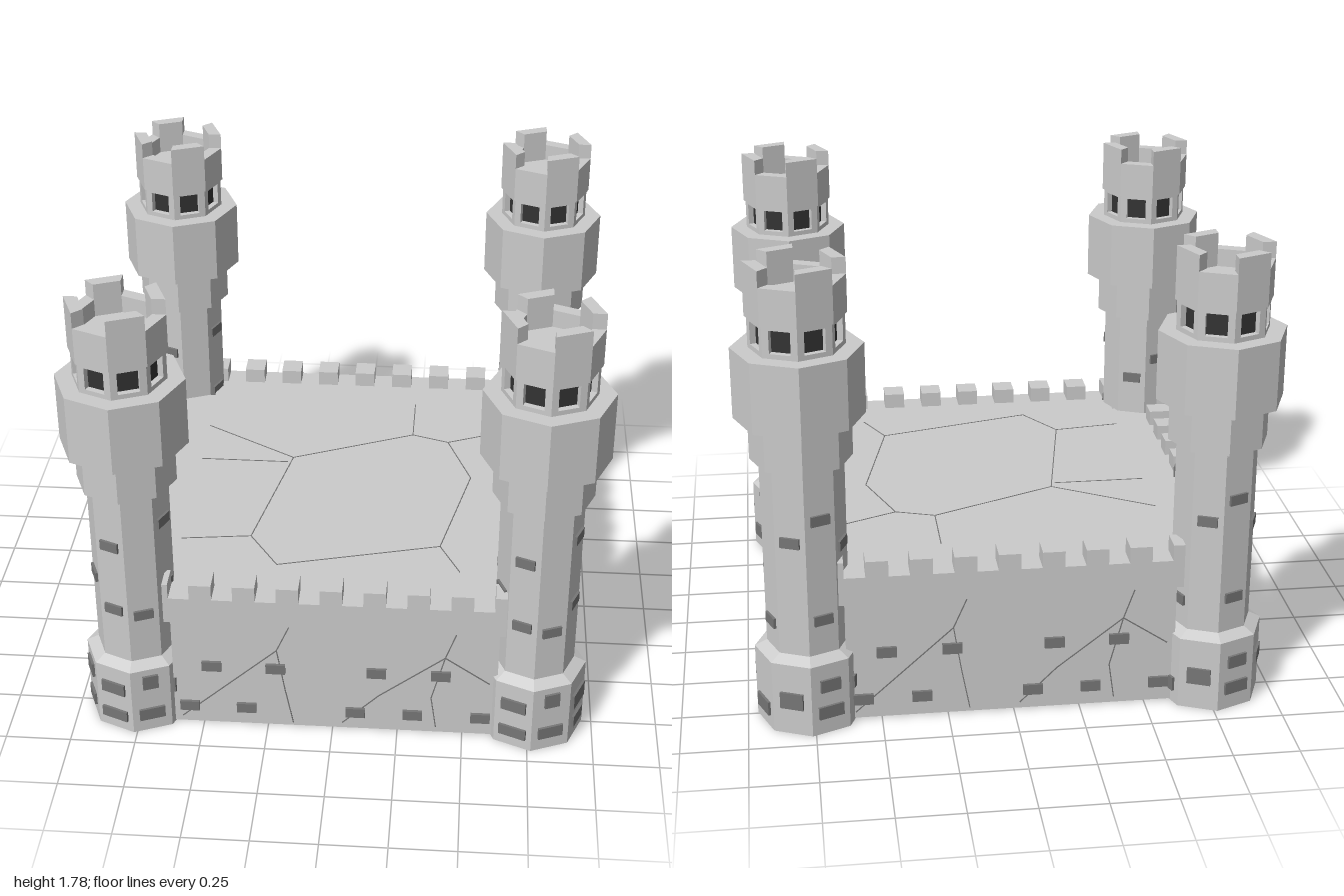
import * as THREE from 'three';

const stone = new THREE.MeshStandardMaterial({ color: 0xcccccc, flatShading: true });
const brickMat = new THREE.MeshStandardMaterial({ color: 0x777777, flatShading: true });
const darkMat = new THREE.MeshStandardMaterial({ color: 0x333333, flatShading: true });

const REACH = 0.864;   // centre to outer wall face
const SPAN = 0.642;    // half length of a wall between towers
const STEP = Math.PI / 4;
const COS = Math.cos(STEP / 2);

function add(parent, name, geometry, material = stone, x = 0, y = 0, z = 0) {
  const mesh = new THREE.Mesh(geometry, material);
  mesh.name = name;
  mesh.position.set(x, y, z);
  parent.add(mesh);
  return mesh;
}

function box(parent, name, w, h, d, x, y, z, material = stone) {
  return add(parent, name, new THREE.BoxGeometry(w, h, d), material, x, y, z);
}

// Thin raised strips along a 2D path lying in the local xy plane
function crack(parent, points) {
  for (let i = 1; i < points.length; i++) {
    const [ax, ay] = points[i - 1], [bx, by] = points[i];
    const strip = box(parent, 'crack', Math.hypot(bx - ax, by - ay), 0.004, 0.003,
      (ax + bx) / 2, (ay + by) / 2, 0, brickMat);
    strip.rotation.z = Math.atan2(by - ay, bx - ax);
  }
}

// One curtain wall facing +z: merlons, raised stones and cracks
function wallSide() {
  const side = new THREE.Group();
  side.name = 'wallSide';
  for (let k = -1; k <= 7; k++) {
    const c = -0.5 + 0.163 * k;
    const a = Math.max(c - 0.042, -SPAN), b = Math.min(c + 0.042, SPAN);
    box(side, 'merlon', b - a, 0.065, 0.095, (a + b) / 2, 0.63, REACH - 0.0475);
  }
  const face = REACH - 0.016;
  for (const x of [-0.47, -0.225, 0.16, 0.405]) {
    box(side, 'wallStone', 0.075, 0.042, 0.02, x, 0.28, face, brickMat);
  }
  for (const x of [-0.56, -0.34, 0.08, 0.30, 0.56]) {
    box(side, 'wallStone', 0.075, 0.042, 0.02, x, 0.085, face, brickMat);
  }
  const cracks = new THREE.Group();
  cracks.name = 'wallCracks';
  cracks.position.z = face;
  crack(cracks, [[-0.59, 0.03], [-0.22, 0.365], [-0.17, 0.48]]);
  crack(cracks, [[-0.22, 0.365], [-0.19, 0.18], [-0.16, 0.02]]);
  crack(cracks, [[0.03, 0.03], [0.17, 0.17], [0.42, 0.365], [0.46, 0.48]]);
  crack(cracks, [[0.42, 0.365], [0.59, 0.25]]);
  crack(cracks, [[0.42, 0.365], [0.37, 0.17], [0.39, 0.03]]);
  side.add(cracks);
  return side;
}

// Cross-shaped solid reaching between the towers
function crossBlock(parent, name, reach, span, y0, y1) {
  box(parent, name, span * 2, y1 - y0, reach * 2, 0, (y0 + y1) / 2, 0);
  for (const s of [-1, 1]) {
    box(parent, name, reach - span, y1 - y0, span * 2, s * (reach + span) / 2, (y0 + y1) / 2, 0);
  }
}

// Wedge of an octagonal ring from angle 0 to 45 degrees, measured from +z
function ringWedge(inner, outer, height) {
  const s = Math.SQRT1_2;
  const shape = new THREE.Shape([
    new THREE.Vector2(0, -inner), new THREE.Vector2(0, -outer),
    new THREE.Vector2(outer * s, -outer * s), new THREE.Vector2(inner * s, -inner * s),
  ]);
  return new THREE.ExtrudeGeometry(shape, { depth: height, bevelEnabled: false }).rotateX(-Math.PI / 2);
}

// Window panel of the lantern, outer face on z = 0
function windowPanel(width, height) {
  const w = width / 2, o = 0.04;
  const shape = new THREE.Shape([
    new THREE.Vector2(-w, 0), new THREE.Vector2(w, 0),
    new THREE.Vector2(w, height), new THREE.Vector2(-w, height),
  ]);
  shape.holes.push(new THREE.Path([
    new THREE.Vector2(-o, 0.02), new THREE.Vector2(-o, 0.105),
    new THREE.Vector2(o, 0.105), new THREE.Vector2(o, 0.02),
  ]));
  return new THREE.ExtrudeGeometry(shape, { depth: 0.025, bevelEnabled: false }).translate(0, 0, -0.025);
}

// Raised stones for each tower face, as [height, width, tall]; faces run from +z towards +x
const baseStones = [
  [[0.08, 0.1, 0.05], [0.23, 0.06, 0.06]],
  [[0.18, 0.11, 0.065], [0.08, 0.09, 0.05]],
  [[0.08, 0.1, 0.055]],
  [[0.14, 0.09, 0.065]],
  [[0.09, 0.1, 0.05], [0.2, 0.08, 0.05]],
  [[0.17, 0.09, 0.05]],
  [[0.22, 0.08, 0.06], [0.08, 0.08, 0.05]],
  [[0.195, 0.1, 0.05], [0.07, 0.11, 0.045]],
];
const shaftStones = [[0.52], [0.9, 0.61], [0.42], [0.765], [0.45, 0.85], [0.72], [0.65], [0.825, 0.54]];

function tower() {
  const t = new THREE.Group();
  t.name = 'tower';
  const drum = (name, rTop, rBottom, y0, y1) =>
    add(t, name, new THREE.CylinderGeometry(rTop, rBottom, y1 - y0, 8), stone, 0, (y0 + y1) / 2, 0);
  drum('towerBase', 0.2, 0.2, 0, 0.287);
  drum('baseSlope', 0.154, 0.2, 0.287, 0.31);
  drum('towerShaft', 0.154, 0.154, 0.31, 1.045);
  drum('lowerCollar', 0.186, 0.186, 1.045, 1.205);
  drum('upperCollar', 0.237, 0.237, 1.205, 1.47);
  drum('crownFloor', 0.135, 0.135, 1.585, 1.66);

  const panel = windowPanel(0.172 * 2 * Math.sin(STEP / 2), 0.12);
  for (let k = 0; k < 8; k++) {
    // Crown wall, with every second side taller
    const wedge = add(t, k % 2 ? 'crownWall' : 'crownMerlon',
      ringWedge(0.13, 0.18, k % 2 ? 0.14 : 0.2), stone, 0, 1.585, 0);
    wedge.rotation.y = k * STEP;

    // Lantern window and raised stones on this face
    const face = new THREE.Group();
    face.name = 'towerFace';
    face.rotation.y = (k + 0.5) * STEP;
    add(face, 'windowFrame', panel, stone, 0, 1.468, 0.172 * COS);
    box(face, 'windowPane', 0.09, 0.1, 0.004, 0, 1.53, 0.172 * COS - 0.025, darkMat);
    for (const [y, w, h] of baseStones[k]) {
      box(face, 'baseStone', w, h, 0.02, 0, y, 0.2 * COS, brickMat);
    }
    for (const y of shaftStones[k]) {
      box(face, 'shaftStone', 0.075, 0.04, 0.02, 0, y, 0.154 * COS, brickMat);
    }
    t.add(face);
  }
  return t;
}

export function createModel() {
  const castle = new THREE.Group();
  castle.name = 'castle';

  // Keep body with an overhanging top band
  const walls = new THREE.Group();
  walls.name = 'walls';
  walls.position.set(0.008, 0, 0.012);
  crossBlock(walls, 'lowerWall', REACH - 0.018, 0.62, 0.005, 0.49);
  crossBlock(walls, 'upperBand', REACH, SPAN, 0.49, 0.6);
  for (let k = 0; k < 4; k++) {
    const side = wallSide();
    side.rotation.y = k * Math.PI / 2;
    walls.add(side);
  }
  castle.add(walls);

  // Roof cracks
  const roof = new THREE.Group();
  roof.name = 'roofCracks';
  roof.position.y = 0.6;
  roof.rotation.x = -Math.PI / 2;
  crack(roof, [[-0.62, 0.37], [-0.24, 0.14], [0.25, 0.355], [0.4, 0.305], [0.5, 0.035], [0.39, -0.465], [-0.23, -0.63]]);
  crack(roof, [[-0.24, 0.14], [-0.35, -0.445], [-0.23, -0.63]]);
  crack(roof, [[0.25, 0.355], [0.25, 0.61]]);
  crack(roof, [[0.4, 0.305], [0.62, 0.4]]);
  crack(roof, [[0.39, -0.465], [0.47, -0.63]]);
  crack(roof, [[-0.62, 0.105], [-0.26, 0.105]]);
  crack(roof, [[-0.35, -0.445], [-0.62, -0.48]]);
  castle.add(roof);

  // Corner towers
  for (const x of [-0.763, 0.763]) {
    for (const z of [-0.74, 0.74]) {
      const t = tower();
      t.position.set(x, 0, z);
      castle.add(t);
    }
  }
  return castle;
}
